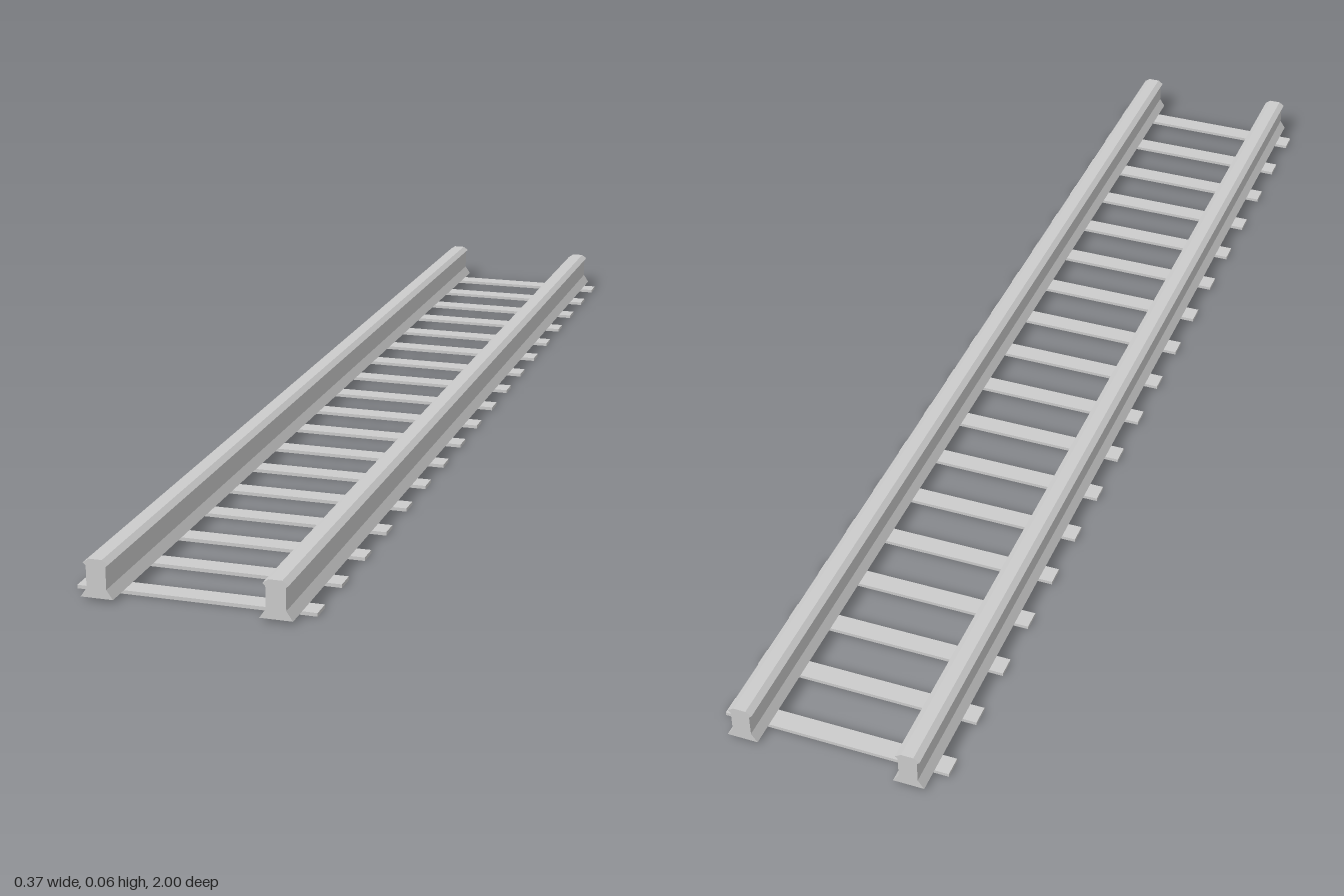
import * as THREE from 'three';

const LENGTH = 2;
const SLEEPERS = 18;
const SLEEPER_TOP = 0.0055;

export function createModel() {
  const track = new THREE.Group();
  track.name = 'railwayTrack';
  const material = new THREE.MeshStandardMaterial({ color: 0xcccccc, flatShading: true });

  // Rail cross-section, right half from foot to head: [half width, height]
  const half = [
    [0.025, SLEEPER_TOP],
    [0.0152, 0.02],
    [0.0152, 0.0545],
    [0.0195, 0.0585],
    [0.01, 0.065],
  ];
  const outline = [
    ...half.map(([x, y]) => new THREE.Vector2(x, y)),
    ...half.slice().reverse().map(([x, y]) => new THREE.Vector2(-x, y)),
  ];
  const railGeometry = new THREE.ExtrudeGeometry(new THREE.Shape(outline), {
    depth: LENGTH,
    bevelEnabled: false,
  });
  railGeometry.translate(0, 0, -LENGTH / 2);

  for (const [name, side] of [['leftRail', 1], ['rightRail', -1]]) {
    const rail = new THREE.Mesh(railGeometry, material);
    rail.name = name;
    rail.position.x = side * 0.1355;
    track.add(rail);
  }

  // Evenly spaced flat sleepers under the rails
  const sleepers = new THREE.Group();
  sleepers.name = 'sleepers';
  const sleeperGeometry = new THREE.BoxGeometry(0.367, SLEEPER_TOP, 0.033);
  const pitch = LENGTH / SLEEPERS;
  for (let i = 0; i < SLEEPERS; i++) {
    const sleeper = new THREE.Mesh(sleeperGeometry, material);
    sleeper.name = `sleeper${i + 1}`;
    sleeper.position.set(0, SLEEPER_TOP / 2, -LENGTH / 2 + pitch * (i + 0.5));
    sleepers.add(sleeper);
  }
  track.add(sleepers);

  return track;
}
